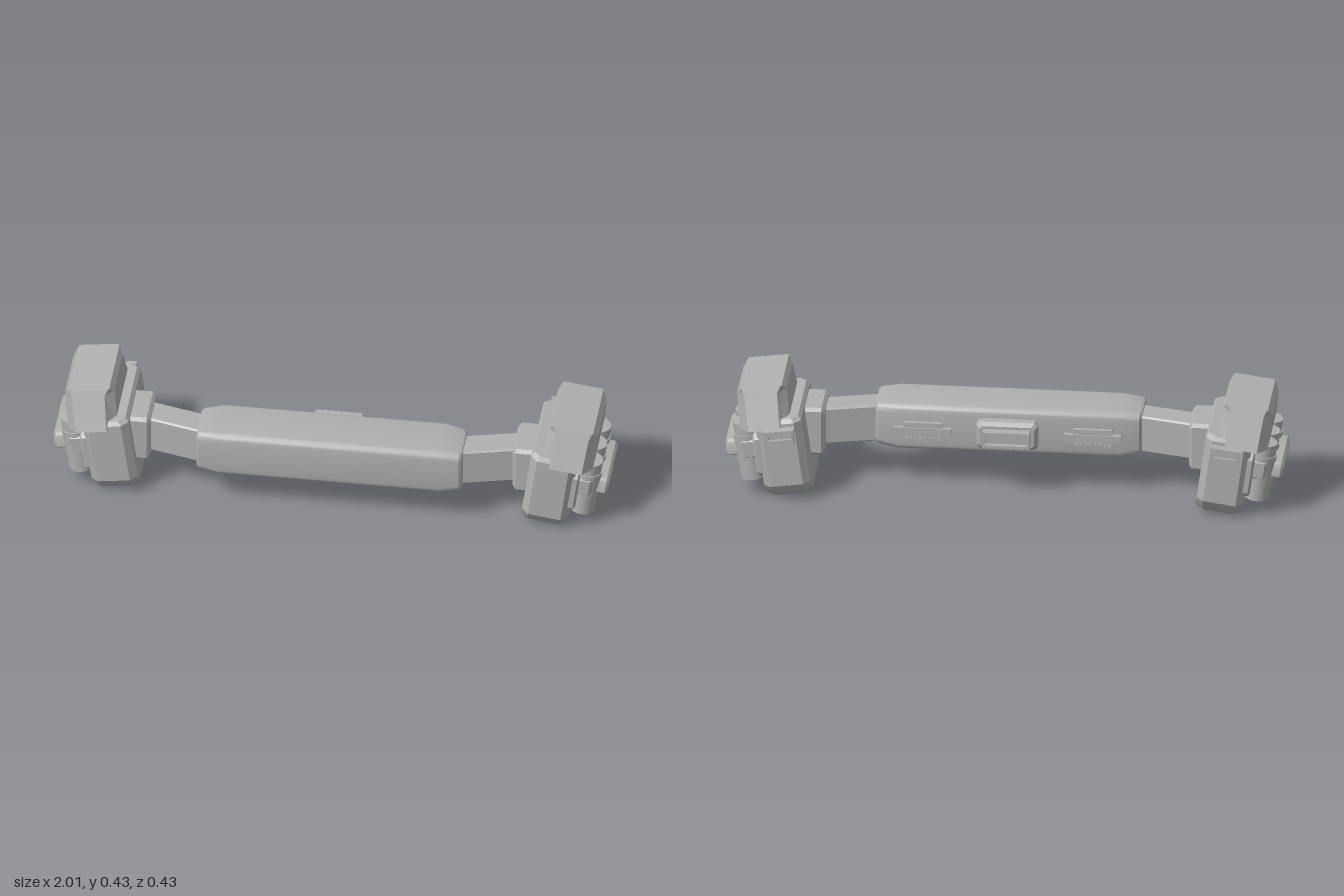
import * as THREE from 'three';
import { toCreasedNormals } from 'three/addons/utils/BufferGeometryUtils.js';

const gray = new THREE.MeshStandardMaterial({ color: 0xb0b0b0 });
gray.name = 'plain gray';

// Rectangle outline at height y with corners cut (n = 1) or rounded (n > 1).
function ring(y, x0, x1, z0, z1, cx, cz = cx, n = 1) {
  const corners = [[x1 - cx, z1 - cz], [x0 + cx, z1 - cz], [x0 + cx, z0 + cz], [x1 - cx, z0 + cz]];
  const pts = [];
  corners.forEach(([x, z], q) => {
    for (let i = 0; i <= n; i++) {
      const a = (q + i / n) * Math.PI / 2;
      pts.push([x + cx * Math.cos(a), y, z + cz * Math.sin(a)]);
    }
  });
  return pts;
}

// Closed solid through a stack of rings, rising along y.
function loft(rings) {
  const n = rings[0].length, pos = rings.flat(2), idx = [], last = (rings.length - 1) * n;
  for (let j = 0; j < rings.length - 1; j++) {
    for (let i = 0; i < n; i++) {
      const a = j * n + i, b = j * n + (i + 1) % n;
      idx.push(a, a + n, b, b, a + n, b + n);
    }
  }
  for (let i = 1; i < n - 1; i++) {
    idx.push(0, i, i + 1, last, last + i + 1, last + i);
  }
  const g = new THREE.BufferGeometry();
  g.setAttribute('position', new THREE.Float32BufferAttribute(pos, 3));
  g.setIndex(idx);
  return toCreasedNormals(g, 0.45);
}
const alongX = g => g.rotateZ(-Math.PI / 2);
const alongBack = g => g.rotateX(-Math.PI / 2);

function add(parent, name, geometry, x = 0, y = 0, z = 0) {
  const m = new THREE.Mesh(geometry, gray);
  m.name = name;
  m.position.set(x, y, z);
  parent.add(m);
  return m;
}
const box = (w, h, d) => new THREE.BoxGeometry(w, h, d);

// Rectangular rim with an open middle, d deep along z.
function rim(w, h, t, d) {
  const rect = (P, a, b) => new P([[-a, -b], [a, -b], [a, b], [-a, b]].map(p => new THREE.Vector2(...p)));
  const s = rect(THREE.Shape, w / 2, h / 2);
  s.holes.push(rect(THREE.Path, w / 2 - t, h / 2 - t));
  return new THREE.ExtrudeGeometry(s, { depth: d, bevelEnabled: false }).translate(0, 0, -d / 2);
}

// End pod for the +x side, tilted outward.
function endPod() {
  const pod = new THREE.Group();
  pod.name = 'endPod';
  pod.position.set(0.82, 0.2, 0.007);
  pod.rotation.z = -0.139;

  add(pod, 'podBody', loft([
    ring(-0.19, -0.1, 0.05, -0.148, 0.148, 0.025),
    ring(-0.18, -0.106, 0.055, -0.16, 0.16, 0.025),
    ring(-0.14, -0.108, 0.06, -0.187, 0.187, 0.025),
    ring(0.1, -0.108, 0.06, -0.187, 0.187, 0.025),
    ring(0.115, -0.098, 0.05, -0.175, 0.175, 0.025),
  ]));
  add(pod, 'podCap', loft([
    ring(0.085, -0.066, 0.117, -0.197, 0.197, 0.035, 0.047),
    ring(0.205, -0.064, 0.115, -0.148, 0.148, 0.03, 0.042),
    ring(0.228, -0.052, 0.096, -0.139, 0.139, 0.005),
  ]));

  // Outer face: backing plate, three canisters, clamp and bar
  add(pod, 'backingPlate', alongX(loft([
    ring(0.05, -0.06, 0.11, -0.17, 0.17, 0.02),
    ring(0.07, -0.06, 0.11, -0.17, 0.17, 0.02),
    ring(0.078, -0.052, 0.102, -0.162, 0.162, 0.02),
  ])));
  for (const z of [-0.104, 0, 0.104]) {
    add(pod, 'canister', new THREE.CylinderGeometry(0.047, 0.047, 0.218, 28), 0.1, -0.014, z);
    add(pod, 'canisterCollar', new THREE.CylinderGeometry(0.051, 0.051, 0.1, 28), 0.1, 0, z);
  }
  add(pod, 'clamp', alongX(loft([
    ring(0.06, -0.044, 0.044, -0.157, 0.157, 0.015),
    ring(0.115, -0.044, 0.044, -0.157, 0.157, 0.015),
    ring(0.135, -0.03, 0.03, -0.14, 0.14, 0.012),
  ])));
  const taper = ([x, y, z]) => [x, y, z * (1 + x * 2)]; // wider towards the bottom
  add(pod, 'outerBar', alongX(loft([
    ring(0.125, -0.03, 0.03, -0.128, 0.128, 0.012, 0.012, 3).map(taper),
    ring(0.172, -0.03, 0.03, -0.128, 0.128, 0.012, 0.012, 3).map(taper),
    ring(0.182, -0.021, 0.021, -0.119, 0.119, 0.01, 0.01, 3).map(taper),
  ])));

  // Bracket on the back
  add(pod, 'bracketBase', box(0.1, 0.06, 0.016), -0.027, 0.05, -0.191);
  add(pod, 'bracketRim', rim(0.1, 0.045, 0.01, 0.024), -0.027, 0.06, -0.197);
  add(pod, 'bracketLip', box(0.114, 0.014, 0.045), -0.027, 0.081, -0.2);
  return pod;
}

// Arm and collar joining the bar to the +x pod.
function joint() {
  const g = new THREE.Group();
  g.name = 'joint';
  add(g, 'arm', alongX(loft([
    ring(0.46, -0.07, 0.07, 0.05, 0.157, 0.006),
    ring(0.67, -0.07, 0.07, -0.002, 0.105, 0.006),
  ])), 0, 0.22);
  add(g, 'collar', alongX(loft([
    ring(0.654, -0.08, 0.08, -0.033, 0.128, 0.012),
    ring(0.666, -0.092, 0.092, -0.044, 0.138, 0.012),
    ring(0.74, -0.092, 0.092, -0.044, 0.138, 0.012),
  ])), 0, 0.216);
  return g;
}

export function createModel() {
  const model = new THREE.Group();
  model.name = 'barWithEndPods';

  // Central bar with slightly narrowed ends
  const section = (x, inset) => ring(x, -0.0875 + inset * 0.5, 0.0875 - inset * 0.5,
    0.003 + inset, 0.21 - inset * 0.6, 0.026, 0.026, 5);
  add(model, 'centralBar', alongX(loft([
    section(-0.478, 0.026), section(-0.47, 0.016), section(-0.4, 0),
    section(0.4, 0), section(0.47, 0.016), section(0.478, 0.026),
  ])), 0, 0.227);

  // Housing in the middle of the back
  add(model, 'backHousing', alongBack(loft([
    ring(-0.01, -0.11, 0.11, -0.052, 0.052, 0.012),
    ring(0.028, -0.11, 0.11, -0.052, 0.052, 0.012),
    ring(0.042, -0.098, 0.098, -0.04, 0.04, 0.01),
  ])), 0, 0.227);
  add(model, 'housingRim', rim(0.17, 0.06, 0.01, 0.04), 0, 0.227, -0.055);
  add(model, 'housingCore', box(0.15, 0.04, 0.02), 0, 0.227, -0.046);

  for (const side of [1, -1]) {
    const half = new THREE.Group();
    half.name = side > 0 ? 'leftEnd' : 'rightEnd';
    half.scale.x = side;
    half.add(joint(), endPod());

    // Slotted plate on the back of the bar
    add(half, 'backPlate', box(0.14, 0.055, 0.024), 0.305, 0.227, 0.001);
    add(half, 'backLedge', box(0.205, 0.026, 0.022), 0.305, 0.222, -0.004);
    for (let i = 0; i < 8; i++) {
      add(half, 'plateTooth', box(0.009, 0.008, 0.012), 0.246 + i * 0.017, 0.19, 0.001);
    }
    model.add(half);
  }
  return model;
}
